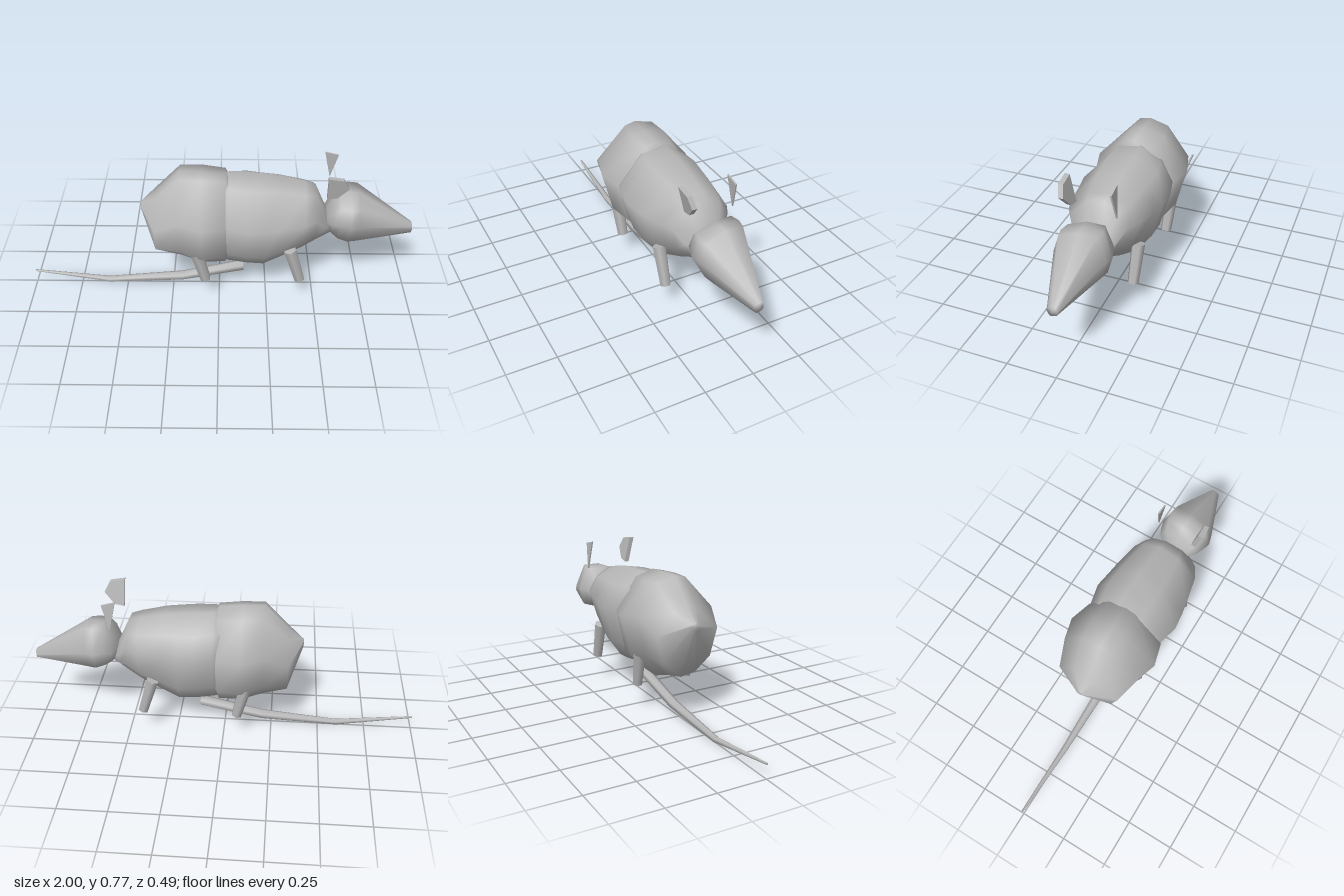
import * as THREE from 'three';

const grey = new THREE.MeshStandardMaterial({ color: 0xb8b8b8, side: THREE.DoubleSide });
grey.name = 'grey fur';

// Cross-sections as [z, y] in -1..1, starting at the top and turning to +z
const rumpSection = [[0, 1], [0.27, 0.95], [1, 0.28], [0.77, -0.52], [0.27, -0.92], [-0.2, -1], [-0.77, -0.52], [-1, 0.28], [-0.46, 0.89]];
const bodySection = [[-0.2, 1], [0.4, 0.9], [1, 0.27], [0.77, -0.52], [0.32, -1], [-0.42, -0.96], [-0.77, -0.52], [-1, 0.27], [-0.7, 0.72]];
const headSection = [[0, 1], [0.78, 0.69], [1, 0], [0.5, -1], [-0.2, -0.92], [-0.82, -0.69], [-1, 0], [-0.7, 1]];
const tailSection = [[0, 1], [0.87, 0.5], [0.87, -0.5], [0, -1], [-0.87, -0.5], [-0.87, 0.5]];

// Closed skin through rings [x, bottom, top, halfWidth] that run towards +x
function loft(name, section, rings) {
  const n = section.length;
  const positions = [];
  const index = [];
  for (const [x, bottom, top, half] of rings) {
    for (const [z, y] of section) {
      positions.push(x, (top + bottom) / 2 + y * (top - bottom) / 2, z * half);
    }
  }
  const start = rings.length * n;
  for (const [x, bottom, top] of [rings[0], rings[rings.length - 1]]) {
    positions.push(x, (top + bottom) / 2, 0);
  }
  const last = (rings.length - 1) * n;
  for (let j = 0; j < n; j++) {
    const k = (j + 1) % n;
    for (let i = 0; i < last; i += n) {
      index.push(i + j, i + k, i + n + j, i + k, i + n + k, i + n + j);
    }
    index.push(start, k, j, start + 1, last + j, last + k);
  }
  const geometry = new THREE.BufferGeometry();
  geometry.setAttribute('position', new THREE.Float32BufferAttribute(positions, 3));
  geometry.setIndex(index);
  geometry.computeVertexNormals();
  return part(name, geometry);
}

function part(name, geometry) {
  const mesh = new THREE.Mesh(geometry, grey);
  mesh.name = name;
  return mesh;
}

// Tapered six-sided leg from hip to foot
function leg(name, hip, foot) {
  const a = new THREE.Vector3(...hip);
  const b = new THREE.Vector3(...foot);
  const mesh = part(name, new THREE.CylinderGeometry(0.034, 0.028, a.distanceTo(b), 6));
  mesh.position.copy(a).add(b).multiplyScalar(0.5);
  mesh.quaternion.setFromUnitVectors(new THREE.Vector3(0, 1, 0), a.sub(b).normalize());
  return mesh;
}

// Ear plate: an outline in x, y pushed sideways with height
function ear(name, outline, thickness, zAt) {
  const shape = new THREE.Shape(outline.map(([x, y]) => new THREE.Vector2(x, y)));
  const geometry = new THREE.ExtrudeGeometry(shape, { depth: thickness, bevelEnabled: false });
  const p = geometry.attributes.position;
  for (let i = 0; i < p.count; i++) p.setZ(i, p.getZ(i) + zAt(p.getY(i)));
  geometry.computeVertexNormals();
  return part(name, geometry);
}

export function createModel() {
  const group = new THREE.Group();
  group.name = 'rodent';

  // Rump and overlapping body
  group.add(loft('rump', rumpSection, [
    [-0.4, 0.5, 0.54, 0.02], [-0.325, 0.25, 0.6, 0.17], [-0.2, 0.22, 0.73, 0.212],
    [-0.09, 0.18, 0.725, 0.243], [0.03, 0.175, 0.715, 0.21], [0.08, 0.28, 0.62, 0.15],
  ]));
  group.add(loft('body', bodySection, [
    [-0.03, 0.24, 0.68, 0.19], [0.05, 0.215, 0.7, 0.21], [0.14, 0.205, 0.695, 0.231], [0.23, 0.195, 0.688, 0.22],
    [0.3, 0.23, 0.68, 0.208], [0.43, 0.3, 0.65, 0.18], [0.485, 0.333, 0.635, 0.15],
    [0.54, 0.365, 0.515, 0.105], [0.57, 0.38, 0.45, 0.07],
  ]));

  // Pointed head
  group.add(loft('head', headSection, [
    [0.545, 0.42, 0.5, 0.07], [0.575, 0.39, 0.56, 0.11], [0.61, 0.36, 0.603, 0.125],
    [0.66, 0.345, 0.605, 0.14], [0.705, 0.347, 0.605, 0.128], [0.995, 0.365, 0.415, 0.025],
  ]));

  // Ears stand clear of the head
  group.add(ear('leftEar', [[0.53, 0.64], [0.58, 0.65], [0.63, 0.71], [0.6, 0.765], [0.525, 0.777]],
    0.025, (y) => 0.088 + (y - 0.64) * 0.22));
  group.add(ear('rightEar', [[0.565, 0.62], [0.6, 0.757], [0.53, 0.775]],
    0.008, (y) => -0.126 + (y - 0.62) * 0.08));

  // Legs
  for (const [side, s] of [['left', 1], ['right', -1]]) {
    group.add(leg(side + 'FrontLeg', [0.36, 0.35, s * 0.148], [0.42, 0.152, s * 0.143]));
    group.add(leg(side + 'BackLeg', [-0.115, 0.33, s * 0.152], [-0.07, 0.148, s * 0.143]));
  }

  // Tail, bent in three stretches
  group.add(loft('tail', tailSection, [
    [-1, 0.072, 0.082, 0.006], [-0.6, 0.004, 0.036, 0.017],
    [-0.2, 0.025, 0.075, 0.027], [0.13, 0.1, 0.155, 0.032],
  ]));
  return group;
}
